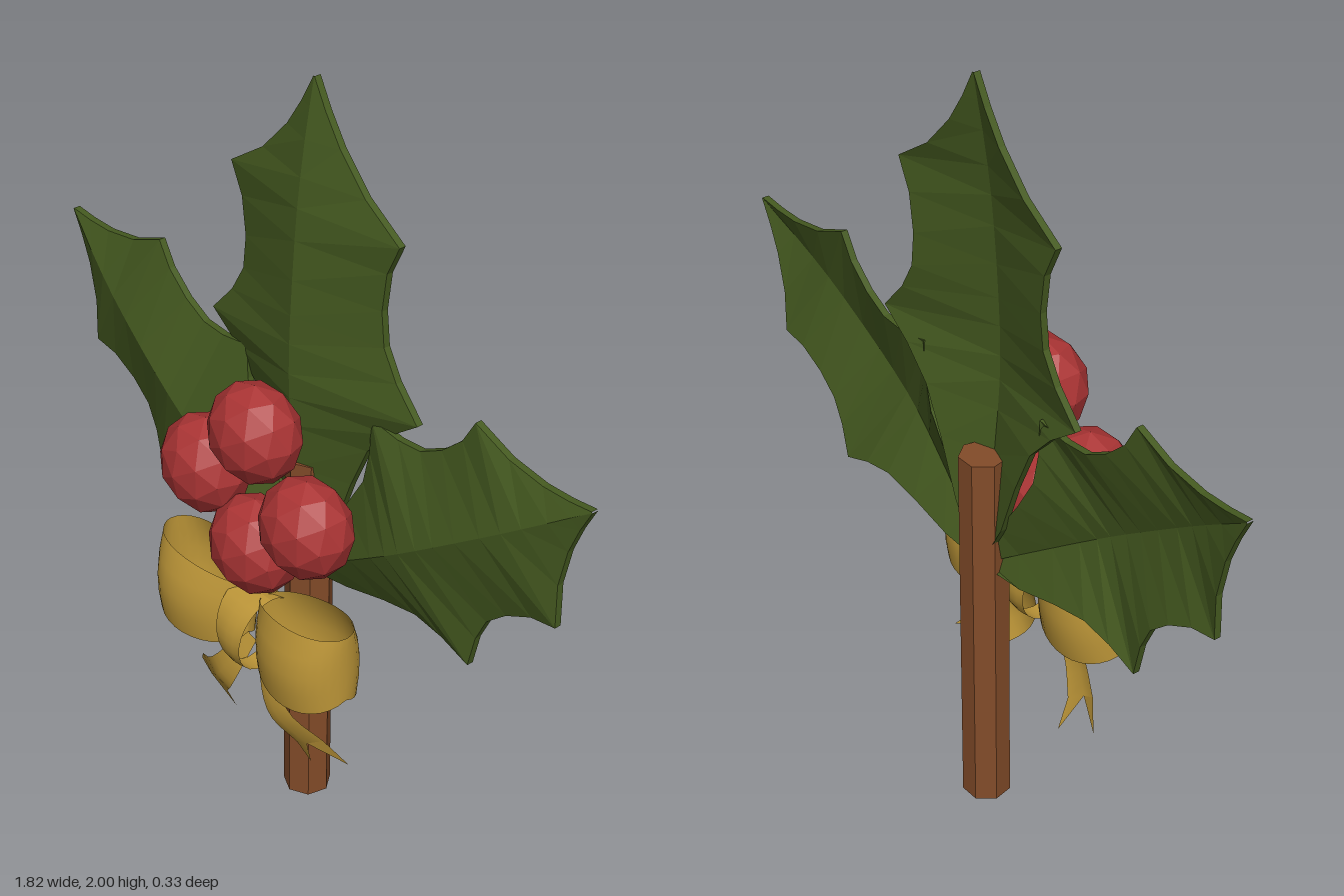
import * as THREE from 'three';

const mat = (name, color) => {
  const m = new THREE.MeshStandardMaterial({ color });
  m.name = name;
  return m;
};

// Surface through rows x cols points given by fn(i, j)
function loft(rows, cols, fn, flat = false) {
  const pos = [], idx = [];
  for (let i = 0; i < rows; i++) for (let j = 0; j < cols; j++) pos.push(...fn(i, j));
  for (let i = 0; i < rows - 1; i++) for (let j = 0; j < cols - 1; j++) {
    const a = i * cols + j, b = a + 1, c = a + cols, d = c + 1;
    idx.push(a, c, b, b, c, d);
  }
  let g = new THREE.BufferGeometry();
  g.setAttribute('position', new THREE.Float32BufferAttribute(pos, 3));
  g.setIndex(idx);
  if (flat) g = g.toNonIndexed();
  g.computeVertexNormals();
  return g;
}

function faceted(g) {
  const f = g.index ? g.toNonIndexed() : g;
  f.computeVertexNormals();
  return f;
}

// Half outline of a leaf: [distance from tip, half width, height of midrib]
const LEAF = [
  [0, 0.002, 0], [0.07, 0.04, 0.012], [0.145, 0.09, 0.025], [0.235, 0.175, 0.038], [0.31, 0.288, 0.047],
  [0.39, 0.25, 0.054], [0.49, 0.237, 0.061], [0.58, 0.247, 0.066], [0.655, 0.29, 0.069], [0.735, 0.363, 0.07],
  [0.8, 0.275, 0.068], [0.88, 0.2, 0.062], [1.0, 0.145, 0.05], [1.15, 0.09, 0.033], [1.3, 0.002, 0.015],
];

function leafGeometry() {
  const side = [-1, 0, 1, 1, 0, -1, -1];
  const back = [0, 0, 0, 1, 1, 1, 0];
  return loft(LEAF.length, 7, (i, j) => {
    const [d, w, h] = LEAF[i];
    return [side[j] * w, 1.3 - d, (side[j] ? 0 : h) - back[j] * 0.018];
  }, true);
}

export function createModel() {
  const root = new THREE.Group();
  const green = mat('leaf green', 0x455a20);
  const red = mat('berry red', 0xaa3434);
  const brown = mat('stem brown', 0x834c29);
  const gold = mat('ribbon gold', 0xbd9638);
  gold.side = THREE.DoubleSide;

  const add = (name, geo, material, x = 0, y = 0, z = 0) => {
    const m = new THREE.Mesh(geo, material);
    m.name = name;
    m.position.set(x, y, z);
    root.add(m);
    return m;
  };

  // Seven-sided stem
  add('stem', faceted(new THREE.CylinderGeometry(0.0615, 0.0615, 1.015, 7)), brown, 0, 0.5075, -0.116);

  // Upright leaf and two side leaves
  const leaf = leafGeometry();
  add('topLeaf', leaf, green, 0, 0.7, -0.117);
  for (const s of [-1, 1]) {
    const m = add(s > 0 ? 'leftLeaf' : 'rightLeaf', leaf, green, 0, 0.7, -0.106);
    m.rotation.z = -s * 0.973;
    m.scale.set(0.847, 0.847, 1);
  }

  // Berries
  const berry = faceted(new THREE.IcosahedronGeometry(0.128, 1));
  [[0, 1.148], [-0.184, 0.974], [0.184, 0.974], [0, 0.832]].forEach(([x, y], i) => {
    add('berry' + (i + 1), berry, red, x, y, 0.057).scale.z = 0.82;
  });

  // Bow loops: flared ribbon rings, open above and below
  const loopDepth = [0.08, 0.104, 0.115, 0.112, 0.1];
  const tailPath = new THREE.CatmullRomCurve3([
    [0.03, 0.54, 0.05], [0.065, 0.46, 0.08], [0.115, 0.385, 0.085], [0.185, 0.325, 0.05],
  ].map((p) => new THREE.Vector3(...p)));
  for (const s of [-1, 1]) {
    const label = s > 0 ? 'left' : 'right';
    add(label + 'BowLoop', loft(33, 5, (i, j) => {
      const a = (i / 32) * Math.PI * 2, t = j / 4;
      const u = (1 - Math.cos(a)) / 2;
      const top = 0.69 + 0.045 * Math.sqrt(u);
      const bottom = 0.55 - 0.045 * Math.abs(Math.sin(a));
      const z = 0.055 + loopDepth[j] * Math.sin(a) * (0.75 + 0.3 * u);
      return [s * (0.03 + 0.3 * u), top + (bottom - top) * t, z];
    }), gold);

    // Tails curl forward, then back to a forked end
    add(label + 'BowTail', loft(12, 3, (i, j) => {
      if (i === 11) {
        return [[s * 0.145, 0.217, 0], [s * 0.185, 0.325, 0.05], [s * 0.285, 0.293, 0]][j];
      }
      const t = i / 10, p = tailPath.getPoint(t);
      const w = (j - 1) * (0.022 + 0.036 * t);
      return [s * (p.x + 0.84 * w), p.y + 0.54 * w, p.z - Math.abs(w) * 0.2];
    }), gold);
  }

  // Knot band around the middle of the bow
  add('bowKnot', loft(25, 5, (i, j) => {
    const a = (i / 24) * Math.PI * 2, t = j / 2 - 1;
    const w = 0.043 + 0.016 * Math.cos(a);
    return [t * w, 0.585 + 0.11 * Math.cos(a), 0.057 + (0.095 - 0.006 * t * t) * Math.sin(a)];
  }), gold);

  return root;
}
